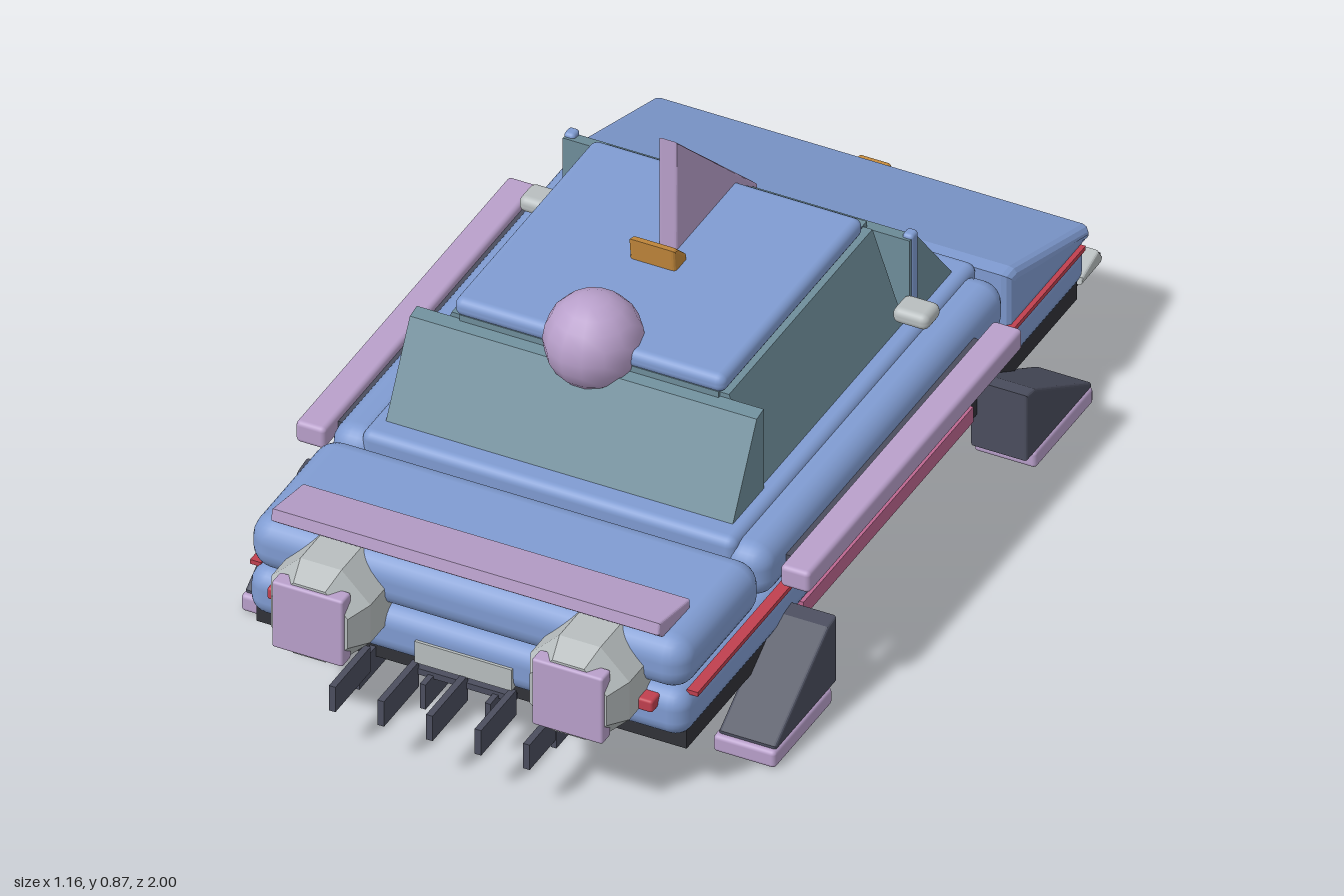
import * as THREE from 'three';
import { RoundedBoxGeometry } from 'three/addons/geometries/RoundedBoxGeometry.js';

const mat = (name, color, flat = false) => {
  const m = new THREE.MeshStandardMaterial({ color });
  m.name = name;
  m.flatShading = flat;
  return m;
};

export function createModel() {
  const car = new THREE.Group();
  car.name = 'hoverCar';
  const blue = mat('blue paint', 0x809cd2);
  const lavender = mat('lavender', 0xb9a0cb);
  const glass = mat('glass', 0x6f8e9b);
  const dark = mat('dark grey', 0x4b4e5e);
  const black = mat('underbody', 0x313238);
  const grey = mat('light grey', 0xb8bebf);
  const orange = mat('orange', 0xc58a3c);
  const red = mat('red', 0xc0404f);
  const pink = mat('pink', 0xbd6790);
  const beige = mat('beige', 0xa89f7c);

  const add = (name, geo, material) => {
    const mesh = new THREE.Mesh(geo, material);
    mesh.name = name;
    car.add(mesh);
    return mesh;
  };
  // box given by its limits; r > 0 rounds the edges
  const box = (name, material, [x0, x1], [y0, y1], [z0, z1], r = 0) => {
    const s = [x1 - x0, y1 - y0, z1 - z0];
    const geo = r ? new RoundedBoxGeometry(...s, 3, r) : new THREE.BoxGeometry(...s);
    geo.translate((x0 + x1) / 2, (y0 + y1) / 2, (z0 + z1) / 2);
    return add(name, geo, material);
  };
  // side profile of [z, y] points, extruded from x0 to x1
  const profile = (name, material, points, x0, x1, bevel = 0) => {
    const shape = new THREE.Shape(points.map(p => new THREE.Vector2(...p)));
    const geo = new THREE.ExtrudeGeometry(shape, {
      depth: x1 - x0 - 2 * bevel, bevelEnabled: bevel > 0, bevelSize: bevel,
      bevelThickness: bevel, bevelOffset: -bevel, bevelSegments: 3,
    });
    geo.rotateY(-Math.PI / 2).translate(x1 - bevel, 0, 0);
    return add(name, geo, material);
  };
  const both = fn => [1, -1].forEach(fn);
  const span = (s, a, b) => (s > 0 ? [a, b] : [-b, -a]);

  // body shell
  box('underbody', black, [-0.465, 0.465], [0.112, 0.18], [-0.84, 0.82]);
  box('lowerBody', blue, [-0.476, 0.476], [0.142, 0.25], [-0.872, 0.85], 0.04);
  box('rearDeck', blue, [-0.476, 0.476], [0.248, 0.367], [0.505, 0.85], 0.05);
  box('cabinBase', blue, [-0.405, 0.405], [0.26, 0.376], [-0.54, 0.5], 0.02);
  both(s => box('shoulder', blue, span(s, 0.37, 0.476), [0.248, 0.365], [-0.53, 0.505], 0.045));
  profile('hood', blue, [[-0.535, 0.235], [-0.535, 0.362], [-0.57, 0.362], [-0.882, 0.262], [-0.882, 0.235]],
    -0.476, 0.476, 0.02);

  // cabin
  profile('rearWindow', glass, [[0.45, 0.37], [0.345, 0.56], [0.315, 0.565], [0.315, 0.37]], -0.375, 0.375);
  profile('windshield', glass, [[-0.49, 0.37], [-0.335, 0.56], [-0.305, 0.565], [-0.305, 0.37]], -0.375, 0.375);
  box('cabinCore', glass, [-0.28, 0.28], [0.37, 0.578], [-0.31, 0.32]);
  both(s => {
    const pts = [[0.37, 0.37], [0.3, 0.575], [0.27, 0.575], [0.27, 0.37]];
    const shape = new THREE.Shape(pts.map(([x, y]) => new THREE.Vector2(s * x, y)));
    const geo = new THREE.ExtrudeGeometry(shape, { depth: 0.61, bevelEnabled: false });
    add('sideWindow', geo.translate(0, 0, -0.295), glass);
    box('cabinPost', blue, span(s, 0.354, 0.378), [0.365, 0.572], [-0.34, -0.312], 0.008);
    box('mirror', grey, span(s, 0.365, 0.443), [0.405, 0.44], [-0.31, -0.245], 0.015);
  });
  box('roof', blue, [-0.293, 0.293], [0.574, 0.615], [-0.275, 0.325], 0.018);

  // roof equipment
  profile('roofFin', lavender, [[-0.015, 0.87], [-0.015, 0.59], [-0.29, 0.55], [-0.36, 0.53], [-0.36, 0.55]],
    -0.02, 0.02, 0.006);
  add('roofDome', new THREE.SphereGeometry(0.1, 14, 10).translate(0, 0.6, 0.3), lavender);
  profile('roofSign', orange, [[0.05, 0.608], [0.056, 0.665], [0.04, 0.662], [0, 0.625], [0, 0.608]],
    -0.05, 0.05, 0.008);

  // rear end
  profile('spoiler', lavender, [[0.85, 0.385], [0.845, 0.41], [0.715, 0.385], [0.715, 0.364], [0.83, 0.368]],
    -0.42, 0.42, 0.005);
  both(s => {
    const turn = g => g.rotateY(Math.PI / 8).rotateX(Math.PI / 2);
    add('thruster', turn(new THREE.CylinderGeometry(0.116, 0.116, 0.16, 8))
      .translate(s * 0.28, 0.258, 0.83), mat8);
    add('thrusterCollar', turn(new THREE.CylinderGeometry(0.09, 0.116, 0.05, 8))
      .translate(s * 0.28, 0.258, 0.935), mat8);
    box('thrusterPlate', lavender, span(s, 0.204, 0.358), [0.18, 0.336], [0.93, 0.968], 0.006);
    box('tailLight', red, span(s, 0.35, 0.417), [0.212, 0.24], [0.835, 0.872], 0.006);
  });
  box('rearPlate', grey, [-0.105, 0.105], [0.154, 0.204], [0.84, 0.856]);
  add('tailPipe', new THREE.CylinderGeometry(0.025, 0.025, 0.1, 12).rotateX(Math.PI / 2)
    .translate(0.192, 0.135, 0.81), grey);
  box('finBar', dark, [-0.11, 0.11], [0.128, 0.142], [0.84, 0.856]);
  for (const x of [-0.21, -0.105, 0, 0.105, 0.21])
    box('rearFin', dark, [x - 0.007, x + 0.007], [0.096, 0.155], [0.85, 1]);
  for (const x of [-0.213, -0.07, 0.07, 0.213])
    box('lowerFin', dark, [x - 0.006, x + 0.006], [0.077, 0.135], [0.745, 0.89]);

  // nose end
  profile('noseBumper', grey, [[-0.88, 0.115], [-0.885, 0.13], [-0.955, 0.15], [-0.972, 0.125], [-0.965, 0.115]],
    -0.455, 0.455, 0.006);
  box('noseSplitter', dark, [-0.435, 0.435], [0.095, 0.11], [-1, -0.85]);
  box('nosePlate', dark, [-0.13, 0.13], [0.165, 0.228], [-0.902, -0.866]);
  box('noseBadge', orange, [-0.036, 0.036], [0.215, 0.258], [-0.9, -0.87], 0.008);
  both(s => box('headlight', beige, span(s, 0.22, 0.41), [0.213, 0.242], [-0.89, -0.86], 0.008));

  // side trim, rails, doors
  both(s => {
    box('sideRail', lavender, span(s, 0.492, 0.556), [0.287, 0.336], [-0.432, 0.478], 0.01);
    box('railMount', dark, span(s, 0.45, 0.495), [0.3, 0.32], [-0.38, 0.42]);
    box('trimLine', red, span(s, 0.46, 0.484), [0.235, 0.245], [-0.84, 0.81]);
    box('sill', pink, span(s, 0.44, 0.479), [0.126, 0.162], [-0.372, 0.35]);
    for (const z of [0.2, -0.11, -0.25])
      box('doorGap', dark, span(s, 0.47, 0.478), [0.172, 0.235], [z - 0.004, z + 0.004]);
    box('doorHandle', grey, span(s, 0.47, 0.49), [0.213, 0.229], [0.08, 0.153]);

    // landing legs and pads
    profile('rearLeg', dark, [[0.395, 0.035], [0.395, 0.19], [0.43, 0.185], [0.655, 0.045], [0.655, 0.035]],
      ...span(s, 0.45, 0.574), 0.006);
    profile('frontLeg', dark, [[-0.415, 0.035], [-0.415, 0.19], [-0.45, 0.185], [-0.69, 0.045], [-0.69, 0.035]],
      ...span(s, 0.45, 0.574), 0.006);
    box('rearPad', lavender, span(s, 0.443, 0.578), [0, 0.039], [0.42, 0.667], 0.009);
    box('frontPad', lavender, span(s, 0.443, 0.578), [0, 0.039], [-0.69, -0.442], 0.009);
  });
  return car;
}

// faceted metal shared by both thrusters
const mat8 = mat('thruster grey', 0xb8bebf, true);
